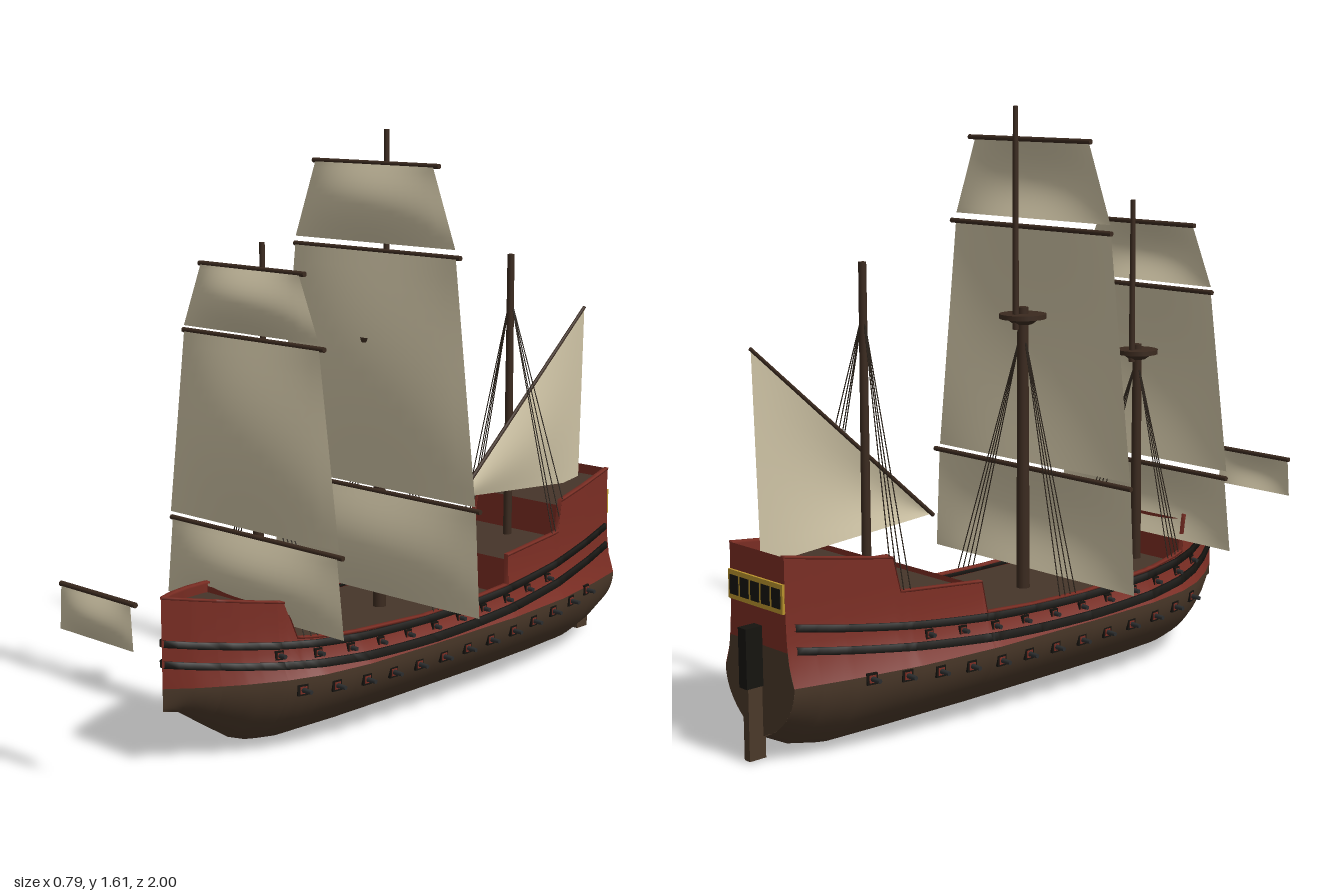
import * as THREE from 'three';

const mat = (name, color, side = THREE.FrontSide) => {
  const m = new THREE.MeshStandardMaterial({ color, side });
  m.name = name;
  return m;
};

// Piecewise linear lookup over [z, value] pairs with z falling
const lookup = (pts, z) => {
  if (z >= pts[0][0]) return pts[0][1];
  for (let i = 1; i < pts.length; i++) {
    const [a, va] = pts[i - 1], [b, vb] = pts[i];
    if (z >= b) return va + (vb - va) * (a - z) / (a - b);
  }
  return pts[pts.length - 1][1];
};
const BOW = 0.77, STERN = -0.95, WATER = 0.215;
const KEEL = [[BOW, 0.155], [0.72, 0.142], [0.65, 0.095], [0.55, 0.03], [0.49, 0.008], [0.43, 0], [-0.78, 0], [-0.87, 0.02], [STERN, 0.06]];
const BEAM = [[BOW, 0], [0.7, 0.06], [0.6, 0.128], [0.5, 0.182], [0.4, 0.217], [0.25, 0.239], [0, 0.245], [-0.35, 0.242], [-0.6, 0.22], [-0.8, 0.18], [STERN, 0.142]];
const SHEER = [[BOW, 0.455], [0.48, 0.413], [0.45, 0.315], [0.3, 0.3], [0, 0.288], [-0.2, 0.292], [-0.36, 0.302], [-0.37, 0.385], [-0.63, 0.405], [-0.65, 0.495], [STERN, 0.54]];
const keel = z => lookup(KEEL, z), sheer = z => lookup(SHEER, z);

// Half width of the hull at a height: round bilge below, tumblehome above
const half = (z, y) => {
  const b = lookup(BEAM, z), k = keel(z);
  if (y > WATER) return b * (1 - 0.22 * (1 - Math.exp((WATER - y) / 0.06)));
  const t = Math.max(0, (y - k) / (WATER - k));
  return b * Math.pow(1 - (1 - t) ** 2, 0.7);
};

// Even stations plus every knuckle of the outline
const stations = (a, b) => {
  const s = [a, b, ...[...KEEL, ...BEAM, ...SHEER].map(p => p[0]).filter(z => z < a && z > b)];
  for (let z = a; z > b; z -= 0.03) s.push(z);
  return [...new Set(s)].sort((p, q) => q - p);
};

// Surface through rows of points
const loft = rows => {
  const n = rows[0].length, index = [];
  for (let i = 0; i < rows.length - 1; i++)
    for (let j = 0; j < n - 1; j++) {
      const a = i * n + j, b = a + n;
      index.push(a, b, a + 1, b, b + 1, a + 1);
    }
  const g = new THREE.BufferGeometry();
  g.setAttribute('position', new THREE.Float32BufferAttribute(rows.flat(2), 3));
  g.setIndex(index);
  g.computeVertexNormals();
  return g;
};
const steps = (n, f) => Array.from({ length: n + 1 }, (_, i) => f(i / n));

export function createModel() {
  const D = THREE.DoubleSide;
  const brown = mat('hull brown', 0x4a3829, D), red = mat('hull red', 0x7a2d23, D), black = mat('wale black', 0x15130f, D);
  const canvas = mat('sail canvas', 0xcdc2a4, D), spar = mat('spar brown', 0x3b2a1f), gold = mat('gold trim', 0xb8922c);
  const rope = mat('rope', 0x2a221a), iron = mat('gun iron', 0x2b2d2e), deckWood = mat('deck wood', 0x46352a, D);

  const ship = new THREE.Group();
  ship.name = 'sailingShip';
  const add = (name, geo, material, x = 0, y = 0, z = 0, ry = 0) => {
    const m = new THREE.Mesh(geo, material);
    m.name = name;
    m.position.set(x, y, z);
    m.rotation.y = ry;
    ship.add(m);
    return m;
  };
  const beam = (name, p, q, r0, r1, material, sides = 10) => {
    const a = new THREE.Vector3(...p), d = new THREE.Vector3(...q).sub(a);
    const m = add(name, new THREE.CylinderGeometry(r1, r0, d.length(), sides), material);
    m.position.copy(a).addScaledVector(d, 0.5);
    m.quaternion.setFromUnitVectors(new THREE.Vector3(0, 1, 0), d.normalize());
  };
  const all = stations(BOW, STERN);

  // Hull sides, wales and rails
  for (const s of [1, -1]) {
    const side = (lo, hi, n) => loft(all.map(z => steps(n, t => {
      const y = lo(z) + (hi(z) - lo(z)) * t;
      return [s * half(z, y), y, z];
    })));
    add('lowerHull', side(keel, () => WATER, 14), brown);
    add('upperHull', side(() => WATER, sheer, 6), red);
    const strip = (name, yAt, h, out, inn, list, material) => add(name, loft(list.map(z => {
      const y = yAt(z), w0 = half(z, y - h / 2), w1 = half(z, y + h / 2);
      return [[w0 - inn, -1], [w0 + out, -1], [w1 + out, 1], [w1 - inn, 1], [w0 - inn, -1]]
        .map(([x, k]) => [s * Math.max(0, x), y + k * h / 2, z]);
    })), material);
    const waleZ = stations(BOW, -0.93);
    strip('upperWale', z => 0.279 + 0.095 * z * z, 0.018, 0.009, 0.003, waleZ, black);
    strip('lowerWale', z => 0.23 + 0.085 * z * z, 0.018, 0.009, 0.003, waleZ, black);
    strip('rail', sheer, 0.006, 0.003, 0.012, all, red);

    // Gun ports with barrels
    const port = (z, y, size, reach) => {
      const x = half(z, y), slope = Math.atan2(half(z - 0.02, y) - half(z + 0.02, y), 0.04);
      add('portFrame', new THREE.BoxGeometry(0.008, size, size), black, s * x, y, z, -s * slope);
      add('portLining', new THREE.BoxGeometry(0.004, size * 0.65, size * 0.65), red, s * (x + 0.004), y, z, -s * slope);
      beam('gunBarrel', [s * (x - 0.01), y, z], [s * (x + reach), y, z], 0.008, 0.006, iron, 8);
    };
    for (let i = 0; i < 13; i++) {
      const z = 0.46 - 0.1005 * i;
      port(z, 0.168 + 0.07 * z * z, 0.03, 0.034);
    }
    for (let i = 0; i < 11; i++) {
      const z = 0.505 - 0.106 * i;
      port(z, 0.255 + 0.09 * z * z, 0.024, 0.024);
    }
  }

  // Decks
  const deck = (name, a, b, yAt) => add(name, loft(stations(a, b).map(z => [[-half(z, yAt(z)), yAt(z), z], [half(z, yAt(z)), yAt(z), z]])), deckWood);
  deck('foreDeck', BOW, 0.48, z => sheer(z) - 0.03);
  deck('mainDeck', 0.48, -0.37, () => 0.268);
  deck('quarterDeck', -0.37, -0.65, z => 0.358 - 0.08 * (z + 0.37));
  deck('poopDeck', -0.65, STERN, z => sheer(z) - 0.03);

  // Bulkheads and transom
  const wall = (name, z, y0, y1, material) => add(name, loft(steps(14, t => {
    const y = y0 + (y1 - y0) * t;
    return [[-half(z, y), y, z], [half(z, y), y, z]];
  })), material);
  wall('foreBulkhead', 0.48, 0.268, 0.4, red);
  wall('quarterBulkhead', -0.37, 0.268, 0.372, red);
  wall('poopBulkhead', -0.65, 0.38, 0.48, red);
  wall('lowerTransom', STERN, keel(STERN), 0.3, brown);
  wall('upperTransom', STERN, 0.3, 0.54, red);

  // Stern gallery windows
  add('sternGallery', new THREE.BoxGeometry(0.222, 0.075, 0.008), gold, 0, 0.435, STERN - 0.003);
  for (let i = -2; i <= 2; i++)
    add('sternWindow', new THREE.BoxGeometry(0.034, 0.05, 0.004), black, i * 0.043, 0.435, STERN - 0.007);

  // Rudder
  add('rudder', new THREE.BoxGeometry(0.022, 0.3, 0.05), brown, 0, 0.155, -0.968);
  add('rudderHead', new THREE.BoxGeometry(0.032, 0.155, 0.055), black, 0, 0.272, -0.9725);

  // Masts, fighting tops and shrouds
  const mast = (name, z, y0, y1, r) => beam(name, [0, y0, z], [0, y1, z], r, r * 0.8, spar, 14);
  const fightingTop = (z, y, r) => {
    add('fightingTop', new THREE.CylinderGeometry(r, r, 0.013, 24), spar, 0, y, z);
    add('fightingTopBase', new THREE.CylinderGeometry(r * 0.75, r * 0.4, 0.016, 24), spar, 0, y - 0.014, z);
  };
  const shrouds = (z, y) => {
    for (const s of [1, -1]) for (let i = 0; i < 4; i++) {
      const zb = z - 0.02 * i;
      beam('shroud', [s * half(zb, sheer(zb)), sheer(zb), zb], [0, y, z], 0.0016, 0.0016, rope, 5);
    }
  };
  mast('foreMast', 0.43, 0.26, 0.91, 0.016);
  mast('foreTopmast', 0.407, 0.86, 1.33, 0.009);
  fightingTop(0.43, 0.888, 0.06);
  shrouds(0.43, 0.87);
  mast('mainMast', -0.035, 0.26, 1.06, 0.019);
  mast('mainTopmast', -0.062, 1.0, 1.605, 0.009);
  fightingTop(-0.035, 1.035, 0.065);
  shrouds(-0.035, 1.01);
  mast('mizzenMast', -0.6, 0.36, 1.225, 0.013);
  shrouds(-0.6, 1.1);

  // Square sails, each hung from its yard
  const squareSail = (name, z, yTop, yBot, wTop, wBot, yard, belly = 0.038) => {
    add(name, loft(steps(14, v => steps(16, t => {
      const u = t * 2 - 1, w = wTop + (wBot - wTop) * v;
      return [u * w, yTop + (yBot - yTop) * v, z + belly * (1 - u * u) * Math.sin(Math.PI * v)];
    }))), canvas);
    beam(name + 'Yard', [-yard, yTop + 0.003, z - 0.008], [yard, yTop + 0.003, z - 0.008], 0.007, 0.007, spar);
  };
  squareSail('mainTopgallant', -0.006, 1.512, 1.3, 0.22, 0.3, 0.235);
  squareSail('mainTopsail', -0.006, 1.275, 0.62, 0.302, 0.378, 0.312);
  squareSail('mainCourse', -0.006, 0.603, 0.315, 0.38, 0.396, 0.39);
  squareSail('foreTopgallant', 0.456, 1.262, 1.095, 0.185, 0.255, 0.198);
  squareSail('foreTopsail', 0.456, 1.078, 0.575, 0.255, 0.323, 0.267);
  squareSail('foreCourse', 0.456, 0.553, 0.345, 0.316, 0.34, 0.33);
  squareSail('spritSail', 0.978, 0.504, 0.392, 0.134, 0.142, 0.145, 0.022);

  // Lateen sail on the mizzen
  const tack = [0, 0.53, -0.36], peak = [0, 1.035, -0.94], clew = [0, 0.49, -0.925];
  const mix = (p, q, t) => p.map((v, i) => v + (q[i] - v) * t);
  add('lateenSail', loft(steps(14, u => steps(10, v => {
    const p = mix(mix(tack, peak, u), mix(tack, clew, u), v);
    p[0] = 0.016 + 0.02 * Math.sin(Math.PI * v) * Math.sin(Math.PI * u);
    return p;
  }))), canvas);
  beam('lateenYard', [0.014, 0.527, -0.357], [0.014, 1.037, -0.943], 0.006, 0.005, spar);

  return ship;
}
